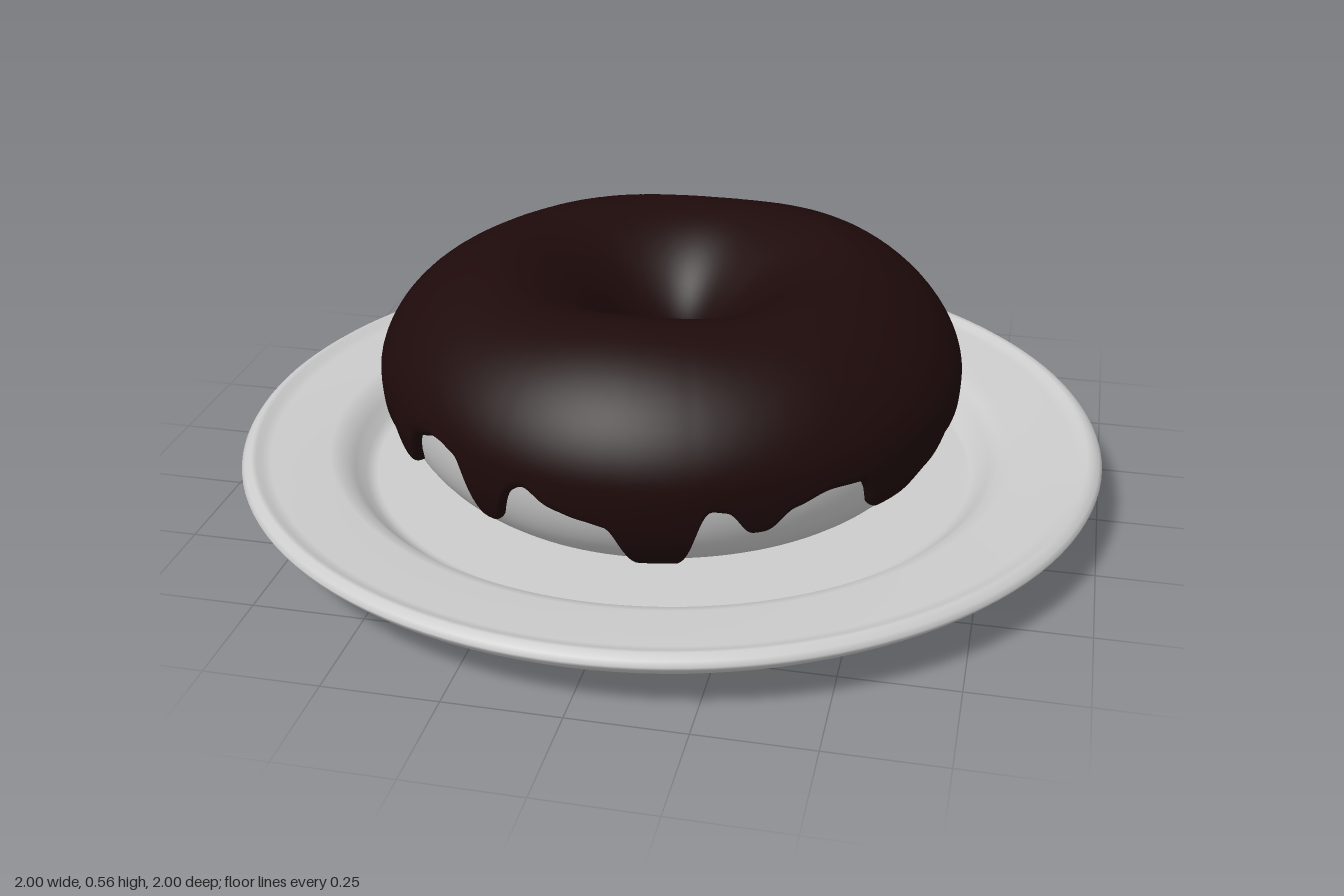
import * as THREE from 'three';

const R = 0.4, CENTRE_Y = 0.31, FLOOR = 0.064;

// Icing edge: [angle in degrees from front towards +x, height of the edge]
const EDGE = [
  [1, 0.21], [4, 0.1], [14, 0.1], [18, 0.26], [23, 0.25], [26, 0.19], [30, 0.19], [34, 0.24],
  [42, 0.265], [50, 0.26], [54, 0.165], [61, 0.165], [70, 0.2], [83, 0.27], [89, 0.24],
  [92, 0.12], [99, 0.12], [106, 0.24], [117, 0.235], [127, 0.21], [135, 0.16], [141, 0.17],
  [150, 0.22], [158, 0.21], [164, 0.13], [171, 0.13], [177, 0.25], [182, 0.15], [190, 0.15],
  [198, 0.24], [204, 0.16], [211, 0.16], [215, 0.22], [219, 0.12], [226, 0.12], [235, 0.25],
  [248, 0.27], [254, 0.16], [261, 0.16], [268, 0.26], [274, 0.24], [279, 0.12], [291, 0.12],
  [296, 0.26], [302, 0.26], [306, 0.18], [310, 0.18], [314, 0.28], [322, 0.305], [329, 0.285],
  [333, 0.155], [337, 0.155], [340, 0.25], [344, 0.28], [350, 0.24], [355, 0.225],
];

function edgeKeyed(degrees) {
  let d = (degrees + 360) % 360;
  if (d < EDGE[0][0]) d += 360;
  const i = EDGE.findLastIndex(([angle]) => angle <= d);
  const [d0, y0] = EDGE[i];
  const [d1, y1] = i + 1 < EDGE.length ? EDGE[i + 1] : [EDGE[0][0] + 360, EDGE[0][1]];
  return THREE.MathUtils.lerp(y0, y1, THREE.MathUtils.smoothstep(d, d0, d1));
}

// Averaging over a few degrees rounds the drips
function edgeHeight(a) {
  const d = THREE.MathUtils.radToDeg(a);
  let sum = 0;
  for (let k = -3; k <= 3; k++) sum += edgeKeyed(d + k * 0.5);
  return sum / 7;
}

// Point on the slightly lumpy ring, pushed out by a given thickness
function ringPoint(a, phi, out) {
  const c = Math.cos(phi), s = Math.sin(phi);
  const up = s > 0;
  const lump = 0.005 * Math.sin(3 * a + 0.8) + 0.004 * Math.sin(5 * a + 2);
  // The upper half is a little more pointed than an ellipse, the lower half fuller
  const power = up ? 1.15 : 0.92;
  const bend = (v) => Math.sign(v) * Math.abs(v) ** power;
  const r = R + (0.252 + out + 0.6 * lump) * bend(c);
  const y = CENTRE_Y + bend(s) * (up ? 0.218 + out + lump : 0.27 + out);
  return [r * Math.sin(a), Math.max(y, FLOOR - 0.004), r * Math.cos(a)];
}

// Grid wrapped around the vertical axis; rows run over the cross-section
function ringGeometry(cols, rows, closed, point) {
  const positions = [], index = [];
  const count = closed ? rows : rows + 1;
  for (let i = 0; i < cols; i++) {
    for (let j = 0; j < count; j++) positions.push(...point((i / cols) * Math.PI * 2, j / rows));
  }
  for (let i = 0; i < cols; i++) {
    for (let j = 0; j < rows; j++) {
      const k = (j + 1) % count, n = (i + 1) % cols;
      const a = i * count + j, b = n * count + j, c = n * count + k, d = i * count + k;
      index.push(a, b, c, a, c, d);
    }
  }
  const g = new THREE.BufferGeometry();
  g.setAttribute('position', new THREE.Float32BufferAttribute(positions, 3));
  g.setIndex(index);
  g.computeVertexNormals();
  return g;
}

export function createModel() {
  const group = new THREE.Group();
  const pale = new THREE.MeshStandardMaterial({ color: 0xcccccc });
  pale.name = 'pale grey';
  const chocolate = new THREE.MeshStandardMaterial({ color: 0x1e0a0a });
  chocolate.name = 'dark chocolate';

  const add = (name, geometry, material, parent) => {
    const mesh = new THREE.Mesh(geometry, material);
    mesh.name = name;
    parent.add(mesh);
  };

  // Plate: foot, underside, rounded rim and sunken floor in one profile
  const profile = [
    [0, 0], [0.715, 0], [0.725, 0.001], [0.74, 0.012], [0.765, 0.035], [0.78, 0.06], [0.8, 0.072],
    [0.83, 0.076], [0.92, 0.077], [0.95, 0.083], [0.98, 0.105], [0.997, 0.122], [1, 0.13],
    [0.993, 0.14], [0.978, 0.15], [0.966, 0.149], [0.955, 0.14], [0.935, 0.136], [0.8, 0.13],
    [0.768, 0.119], [0.745, 0.097], [0.722, 0.072], [0.705, FLOOR], [0.695, FLOOR], [0, FLOOR],
  ].map(([x, y]) => new THREE.Vector2(x, y));
  add('plate', new THREE.LatheGeometry(profile, 128), pale, group);

  const doughnut = new THREE.Group();
  doughnut.name = 'doughnut';
  doughnut.position.set(-0.005, 0, -0.03);
  group.add(doughnut);

  // Dough ring resting on the plate
  add('dough', ringGeometry(128, 64, true, (a, v) => ringPoint(a, v * Math.PI * 2, 0)), pale, doughnut);

  // Icing: from the dripping outer edge over the top and into the hole
  const icing = ringGeometry(600, 56, false, (a, v) => {
    const start = Math.asin((edgeHeight(a) - CENTRE_Y) / 0.29);
    const end = Math.PI + 0.35 + 0.12 * Math.sin(4 * a) + 0.06 * Math.sin(7 * a + 1);
    // Rows bunch up towards both edges
    const t = 0.5 - 0.5 * Math.cos(v * Math.PI);
    const phi = THREE.MathUtils.lerp(start, end, t);
    const near = Math.min(1, Math.min(phi - start, end - phi) / 0.09);
    const thickness = -0.004 + 0.028 * Math.sqrt(Math.max(0, 1 - (1 - near) ** 2));
    return ringPoint(a, phi, thickness);
  });
  add('icing', icing, chocolate, doughnut);

  return group;
}
